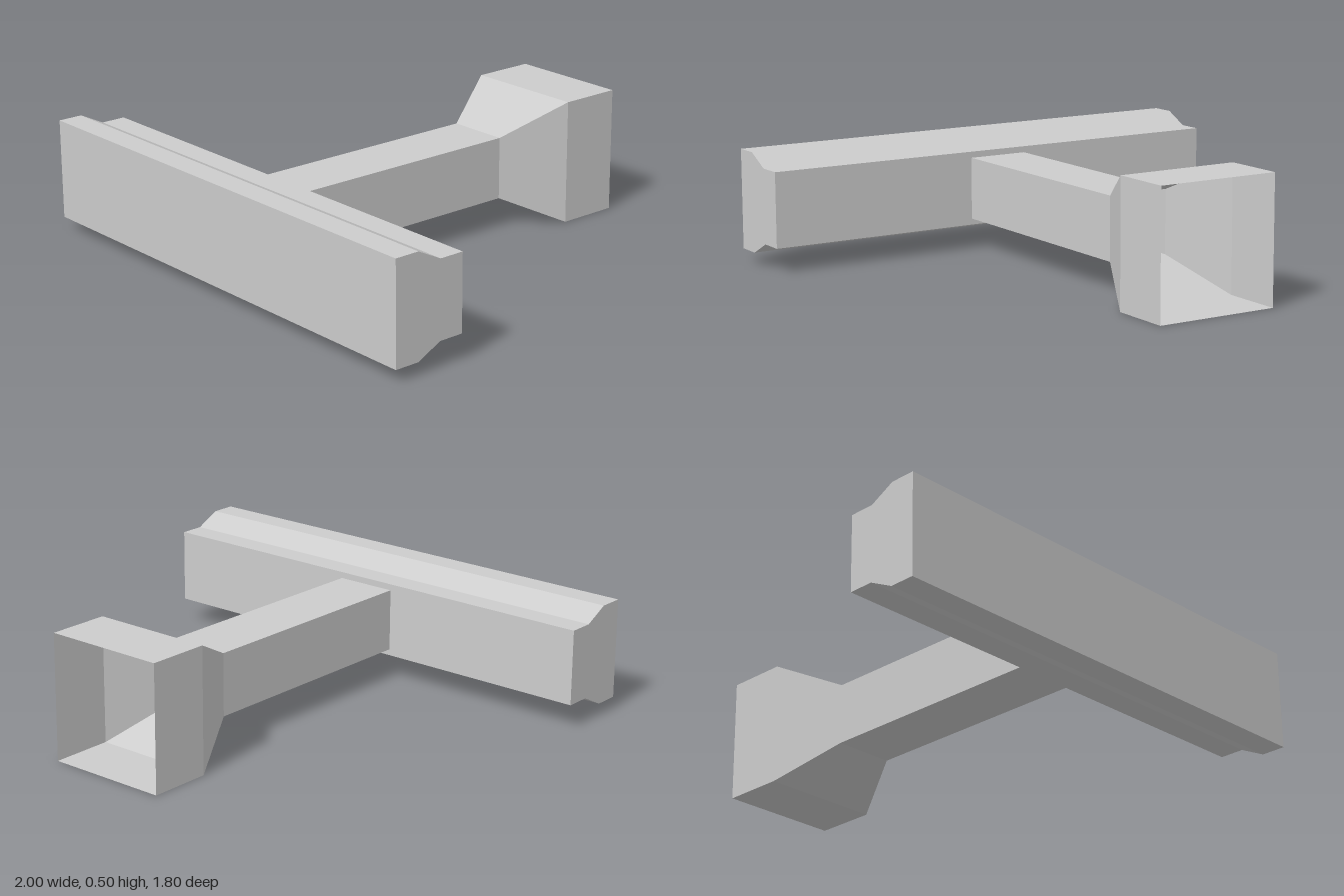
import * as THREE from 'three';

const MID_Y = 0.25;

// Open square tube section running along z, tapering between two half widths
function squareSection(zFront, zBack, halfFront, halfBack) {
  const g = new THREE.CylinderGeometry(
    halfFront * Math.SQRT2, halfBack * Math.SQRT2, zFront - zBack, 4, 1, true, Math.PI / 4
  ).rotateX(Math.PI / 2).translate(0, MID_Y, (zFront + zBack) / 2).toNonIndexed();
  g.computeVertexNormals();
  return g;
}

export function createModel() {
  const group = new THREE.Group();
  const grey = new THREE.MeshStandardMaterial({ color: 0xcccccc, side: THREE.DoubleSide });
  grey.name = 'light grey';

  const add = (name, geometry) => {
    const mesh = new THREE.Mesh(geometry, grey);
    mesh.name = name;
    group.add(mesh);
  };

  // Crossbar: stepped profile (z, half height), mirrored top to bottom
  const half = [[0.6, 0.15], [0.7, 0.15], [0.8, 0.2], [0.9, 0.2]];
  const outline = [
    ...half.map(([z, h]) => new THREE.Vector2(z, MID_Y - h)),
    ...half.slice().reverse().map(([z, h]) => new THREE.Vector2(z, MID_Y + h)),
  ];
  const bar = new THREE.ExtrudeGeometry(new THREE.Shape(outline), { depth: 2, bevelEnabled: false })
    .translate(0, 0, -1).rotateY(-Math.PI / 2);
  add('crossbar', bar);

  // Hollow shaft flaring into a square socket open at the back
  add('shaft', squareSection(0.6, -0.4, 0.125, 0.125));
  add('socketFlare', squareSection(-0.4, -0.65, 0.125, 0.25));
  add('socket', squareSection(-0.65, -0.9, 0.25, 0.25));

  return group;
}
